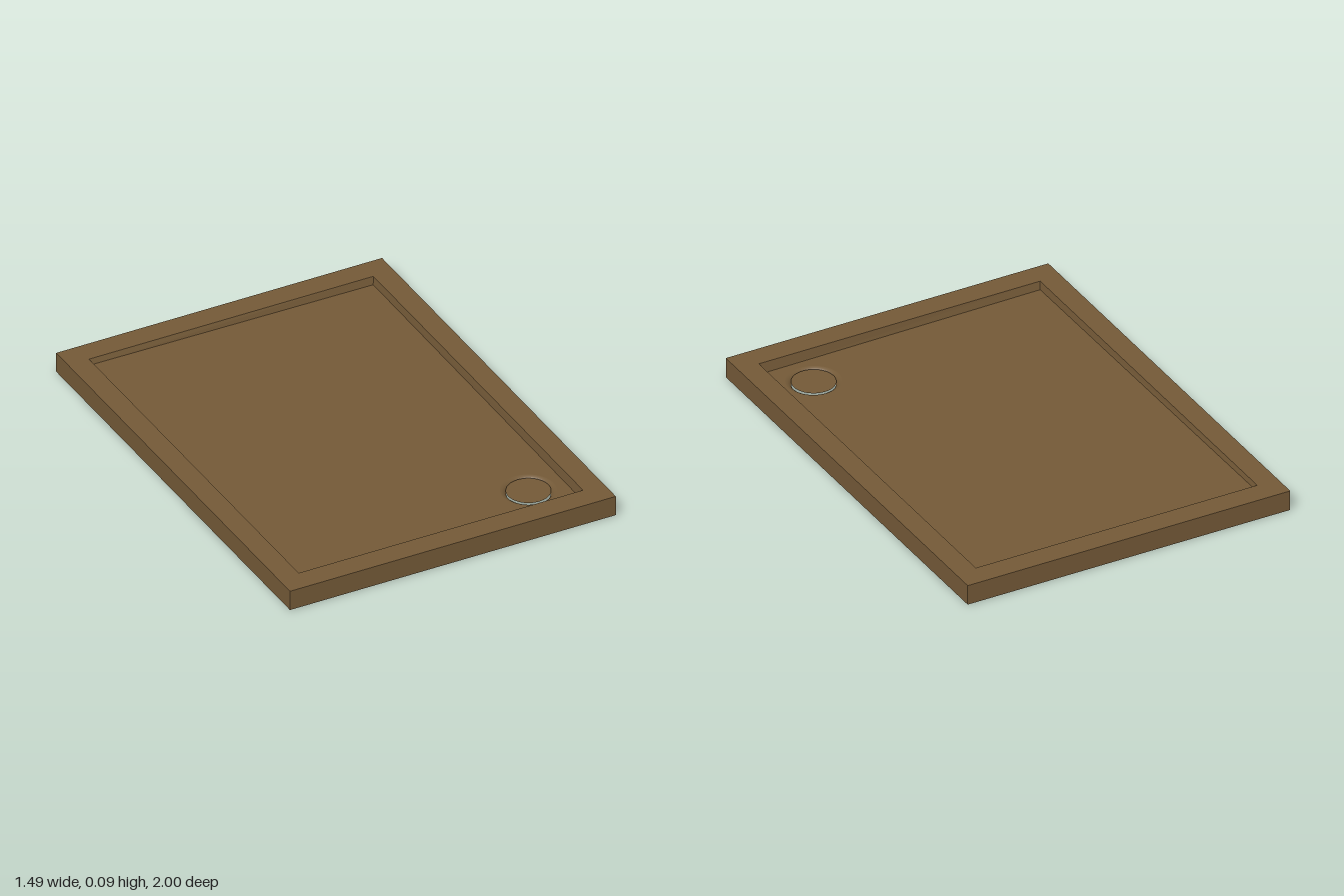
import * as THREE from 'three';

const W = 0.745, L = 1, H = 0.09;            // half width, half length, height
const DRAIN = { x: 0.487, z: 0.735, r: 0.09, lip: 0.115 };

// The floor falls gently towards the drain corner
const floorY = (x, z) => 0.056 - 0.008 * x - 0.006 * z;

// Four corners, counter-clockwise from above
const loop = (w, l, y) => [[1, 1], [1, -1], [-1, -1], [-1, 1]].map(([sx, sz]) => {
  const x = sx * w, z = sz * l;
  return [x, typeof y === 'function' ? y(x, z) : y, z];
});

// Flat-faced strip joining two loops of corners
function band(a, b) {
  const pos = [];
  for (let i = 0; i < 4; i++) {
    const j = (i + 1) % 4;
    pos.push(...a[i], ...a[j], ...b[j], ...a[i], ...b[j], ...b[i]);
  }
  const g = new THREE.BufferGeometry();
  g.setAttribute('position', new THREE.Float32BufferAttribute(pos, 3));
  g.computeVertexNormals();
  return g;
}

// Lay a geometry onto the sloping floor
function drape(g) {
  const p = g.attributes.position;
  for (let i = 0; i < p.count; i++) p.setY(i, p.getY(i) + floorY(p.getX(i), p.getZ(i)));
  g.computeVertexNormals();
  return g;
}

export function createModel() {
  const model = new THREE.Group();
  model.name = 'showerTray';
  const brown = new THREE.MeshStandardMaterial({ color: 0x735937, side: THREE.DoubleSide });
  brown.name = 'brown';
  const add = (name, geometry) => {
    const mesh = new THREE.Mesh(geometry, brown);
    mesh.name = name;
    model.add(mesh);
    return mesh;
  };

  // Open-bottomed shell: skirt, flat rim and basin walls
  const fw = 0.645, fl = 0.888;
  const base = loop(W, L, 0), top = loop(W, L, H);
  const inner = loop(0.65, 0.897, H), foot = loop(fw, fl, floorY);
  add('outerSkirt', band(base, top));
  add('rim', band(top, inner));
  add('basinWall', band(inner, foot));

  // Sloping floor with the drain opening
  const shape = new THREE.Shape([[-fw, -fl], [fw, -fl], [fw, fl], [-fw, fl]]
    .map(([x, y]) => new THREE.Vector2(x, y)));
  shape.holes.push(new THREE.Path().absarc(DRAIN.x, -DRAIN.z, DRAIN.lip, 0, Math.PI * 2, true));
  add('floor', drape(new THREE.ShapeGeometry(shape, 24).rotateX(-Math.PI / 2)));

  // Rounded dip around the drain hole
  const profile = [[DRAIN.lip, 0], [0.106, -0.002], [0.097, -0.008], [DRAIN.r, -0.018]]
    .map(([r, y]) => new THREE.Vector2(r, y));
  add('drainDip', drape(new THREE.LatheGeometry(profile, 48).translate(DRAIN.x, 0, DRAIN.z)));

  // Flat cover hovering over the hole
  const cover = add('drainCover', new THREE.CircleGeometry(0.092, 48).rotateX(-Math.PI / 2));
  cover.position.set(DRAIN.x, 0.045, DRAIN.z);

  return model;
}
